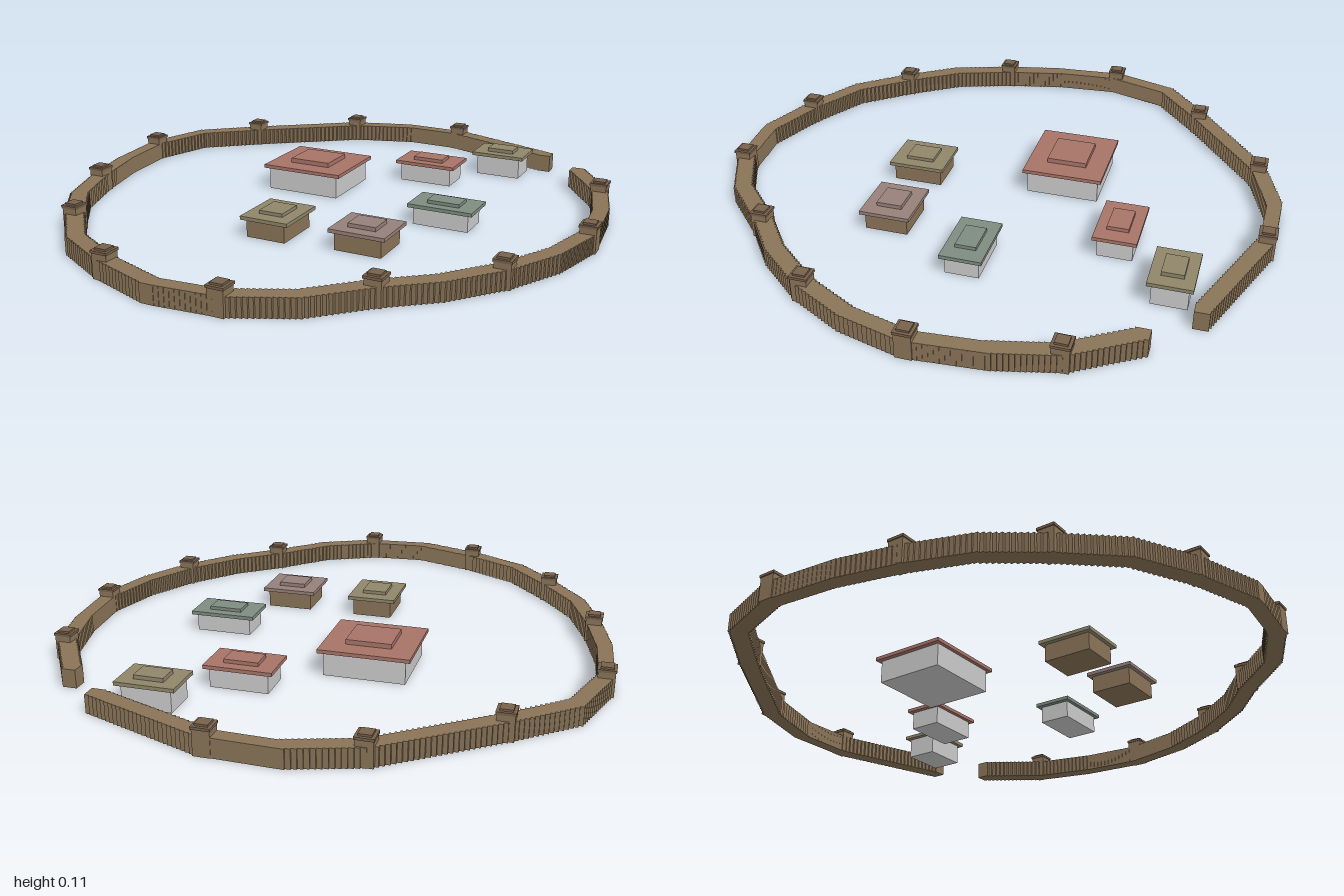
import * as THREE from 'three';
import { mergeGeometries } from 'three/addons/utils/BufferGeometryUtils.js';

const material = (color) => new THREE.MeshStandardMaterial({ color, flatShading: true });
const stone = material(0xcccccc);
const timber = material(0x8a7458);
const darkTimber = material(0x77614b);
const red = material(0xa87468);
const olive = material(0x8f866a);
const teal = material(0x7d8c80);
const mauve = material(0x96807a);

// Box geometry standing on height y
function block(w, h, d, x, y, z) {
  return new THREE.BoxGeometry(w, h, d).translate(x, y + h / 2, z);
}

function addMesh(parent, name, geometry, mat) {
  const mesh = new THREE.Mesh(geometry, mat);
  mesh.name = name;
  parent.add(mesh);
}

// Corners of the palisade from one side of the gate round to the other;
// a third value marks a watchtower
const PATH = [
  [0.565, -0.815], [0.135, -0.97, 1], [-0.09, -0.975], [-0.325, -0.9, 1],
  [-0.68, -0.635, 1], [-0.87, -0.475], [-0.945, -0.245, 1], [-0.925, 0],
  [-0.875, 0.215, 1], [-0.8, 0.43], [-0.675, 0.605, 1], [-0.525, 0.78],
  [-0.32, 0.89, 1], [-0.09, 0.97], [0.135, 0.95, 1], [0.335, 0.855],
  [0.5, 0.69, 1], [0.65, 0.57], [0.79, 0.4, 1], [0.89, 0.21],
  [0.945, -0.005, 1], [0.925, -0.24], [0.87, -0.455, 1], [0.735, -0.66],
];

// Palisade of closely set square posts
function createPalisade() {
  const posts = [];
  for (let i = 0; i < PATH.length - 1; i++) {
    const [x0, z0] = PATH[i];
    const [x1, z1] = PATH[i + 1];
    const count = Math.ceil(Math.hypot(x1 - x0, z1 - z0) / 0.018);
    const last = i === PATH.length - 2 ? count : count - 1;
    for (let k = 0; k <= last; k++) {
      const t = k / count;
      posts.push(block(0.05, 0.065, 0.05, x0 + (x1 - x0) * t, 0, z0 + (z1 - z0) * t));
    }
  }
  return mergeGeometries(posts);
}

// Watchtower with a wider platform and a small cap
function createTower(x, z) {
  const tower = new THREE.Group();
  tower.name = 'watchtower';
  addMesh(tower, 'towerBody', block(0.056, 0.088, 0.056, x, 0, z), timber);
  addMesh(tower, 'towerPlatform', block(0.062, 0.009, 0.062, x, 0.086, z), darkTimber);
  addMesh(tower, 'towerCap', block(0.042, 0.007, 0.042, x, 0.095, z), darkTimber);
  return tower;
}

// House with an overhanging flat roof and a raised roof block
function createHouse({ name, x, z, w, d, eaves, top, wall, roof }) {
  const house = new THREE.Group();
  house.name = name;
  const slab = 0.013;
  addMesh(house, 'walls', block(w - 0.035, eaves, d - 0.028, x, 0, z), wall);
  addMesh(house, 'roof', block(w, slab, d, x, eaves, z), roof);
  addMesh(house, 'roofCap', block(w / 2, top - eaves - slab, d / 2, x, eaves + slab, z), roof);
  return house;
}

const HOUSES = [
  { name: 'greatHall', x: -0.17, z: -0.23, w: 0.317, d: 0.287, eaves: 0.083, top: 0.113, wall: stone, roof: red },
  { name: 'gateHouse', x: 0.42, z: -0.705, w: 0.205, d: 0.147, eaves: 0.077, top: 0.104, wall: stone, roof: olive },
  { name: 'redHouse', x: 0.197, z: -0.49, w: 0.237, d: 0.15, eaves: 0.068, top: 0.094, wall: stone, roof: red },
  { name: 'greenHouse', x: 0.435, z: -0.037, w: 0.237, d: 0.145, eaves: 0.063, top: 0.088, wall: stone, roof: teal },
  { name: 'oliveHut', x: -0.045, z: 0.305, w: 0.18, d: 0.205, eaves: 0.063, top: 0.088, wall: timber, roof: olive },
  { name: 'brownHut', x: 0.285, z: 0.293, w: 0.203, d: 0.18, eaves: 0.063, top: 0.09, wall: timber, roof: mauve },
];

export function createModel() {
  const model = new THREE.Group();
  model.name = 'walledVillage';
  addMesh(model, 'palisade', createPalisade(), timber);
  for (const [x, z, tower] of PATH) if (tower) model.add(createTower(x, z));
  for (const house of HOUSES) model.add(createHouse(house));
  return model;
}
